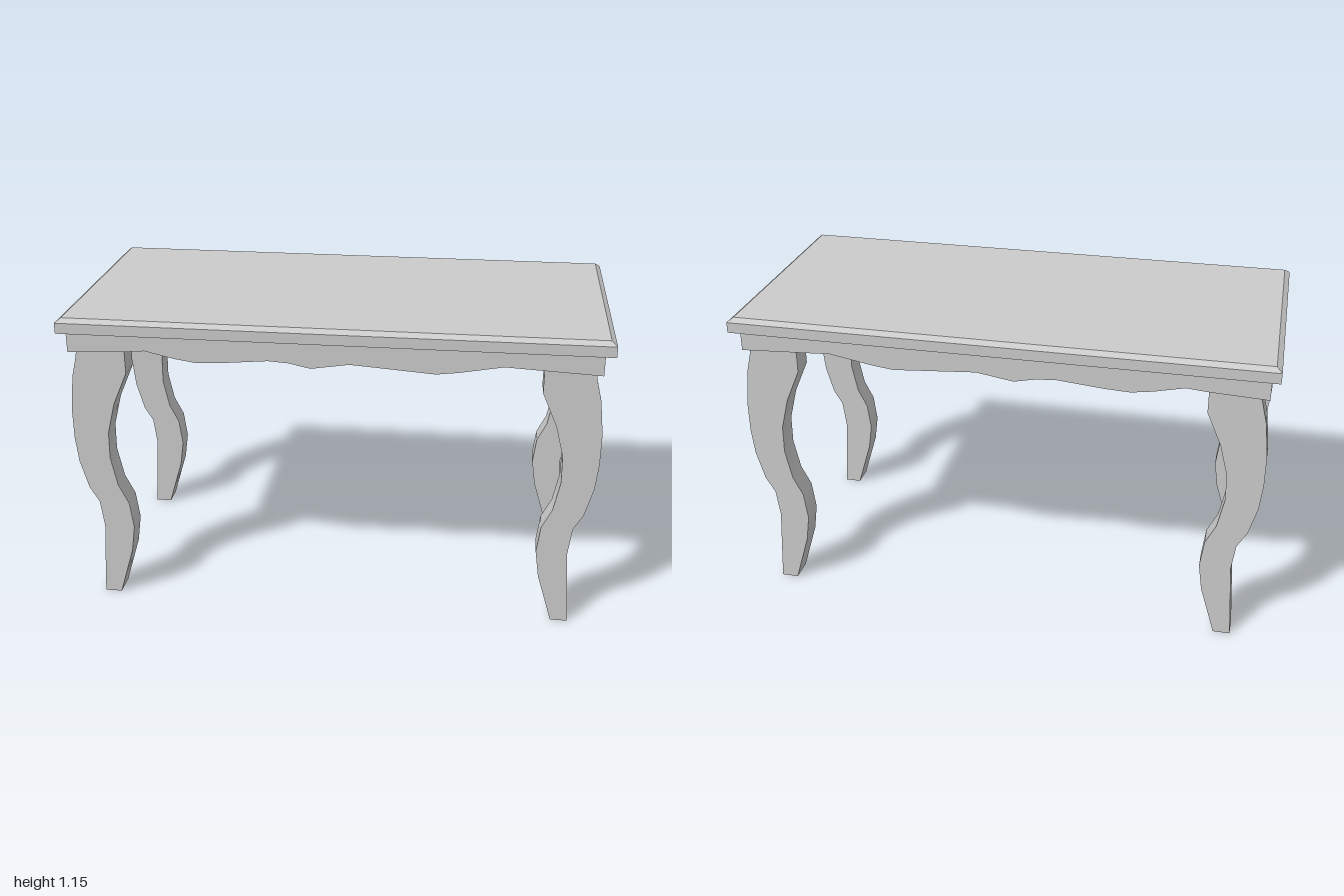
import * as THREE from 'three';
import { toCreasedNormals } from 'three/addons/utils/BufferGeometryUtils.js';

const material = new THREE.MeshStandardMaterial({ color: 0xcccccc });

// Extrude an x-y outline between two z planes, smoothing its gentle curves
function slab(points, z0, z1) {
  const shape = new THREE.Shape(points.map(([x, y]) => new THREE.Vector2(x, y)));
  const geometry = new THREE.ExtrudeGeometry(shape, { depth: z1 - z0, bevelEnabled: false });
  geometry.translate(0, 0, z0);
  return toCreasedNormals(geometry, 0.7);
}

// Table top: a box whose upper ring is drawn in to form a chamfer
function topGeometry() {
  const bottom = 1.1, shoulder = 1.14, top = 1.155, inset = 0.02;
  const geometry = new THREE.BoxGeometry(2, 2, 0.96, 1, 2, 1);
  const p = geometry.attributes.position;
  for (let i = 0; i < p.count; i++) {
    const level = Math.round(p.getY(i));
    p.setY(i, [bottom, shoulder, top][level + 1]);
    if (level === 1) {
      p.setX(i, p.getX(i) - Math.sign(p.getX(i)) * inset);
      p.setZ(i, p.getZ(i) - Math.sign(p.getZ(i)) * inset);
    }
  }
  const flat = geometry.toNonIndexed();
  flat.computeVertexNormals();
  return flat;
}

export function createModel() {
  const table = new THREE.Group();
  table.name = 'table';
  const add = (name, geometry) => {
    const mesh = new THREE.Mesh(geometry, material);
    mesh.name = name;
    table.add(mesh);
  };

  add('tableTop', topGeometry());

  // Solid apron with a scalloped lower edge
  add('apron', slab([
    [-0.97, 1.1], [-0.97, 1.02], [-0.76, 1.03], [-0.68, 1.037], [-0.57, 1.012],
    [-0.49, 1.0], [-0.4, 1.004], [-0.225, 1.02], [-0.15, 1.015], [-0.07, 0.998],
    [0.07, 1.02], [0.38, 0.998], [0.46, 1.008], [0.62, 1.037], [0.76, 1.03],
    [0.965, 1.02], [0.965, 1.1],
  ], -0.45, 0.453));

  // Curved legs: outer edge downwards, then inner edge upwards
  const leg = [
    [0.94, 1.04], [0.945, 1.0], [0.965, 0.92], [0.98, 0.79], [0.98, 0.67],
    [0.97, 0.57], [0.94, 0.46], [0.905, 0.4], [0.892, 0.295], [0.902, 0.155], [0.912, 0],
    [0.848, 0], [0.79, 0.19], [0.775, 0.295], [0.788, 0.4], [0.825, 0.475],
    [0.848, 0.59], [0.846, 0.695], [0.815, 0.815], [0.76, 0.94], [0.76, 1.04],
  ];
  for (const [sideName, side] of [['Left', 1], ['Right', -1]]) {
    const outline = leg.map(([x, y]) => [x * side, y]);
    add('front' + sideName + 'Leg', slab(outline, 0.35, 0.44));
    add('back' + sideName + 'Leg', slab(outline, -0.43, -0.34));
  }
  return table;
}
